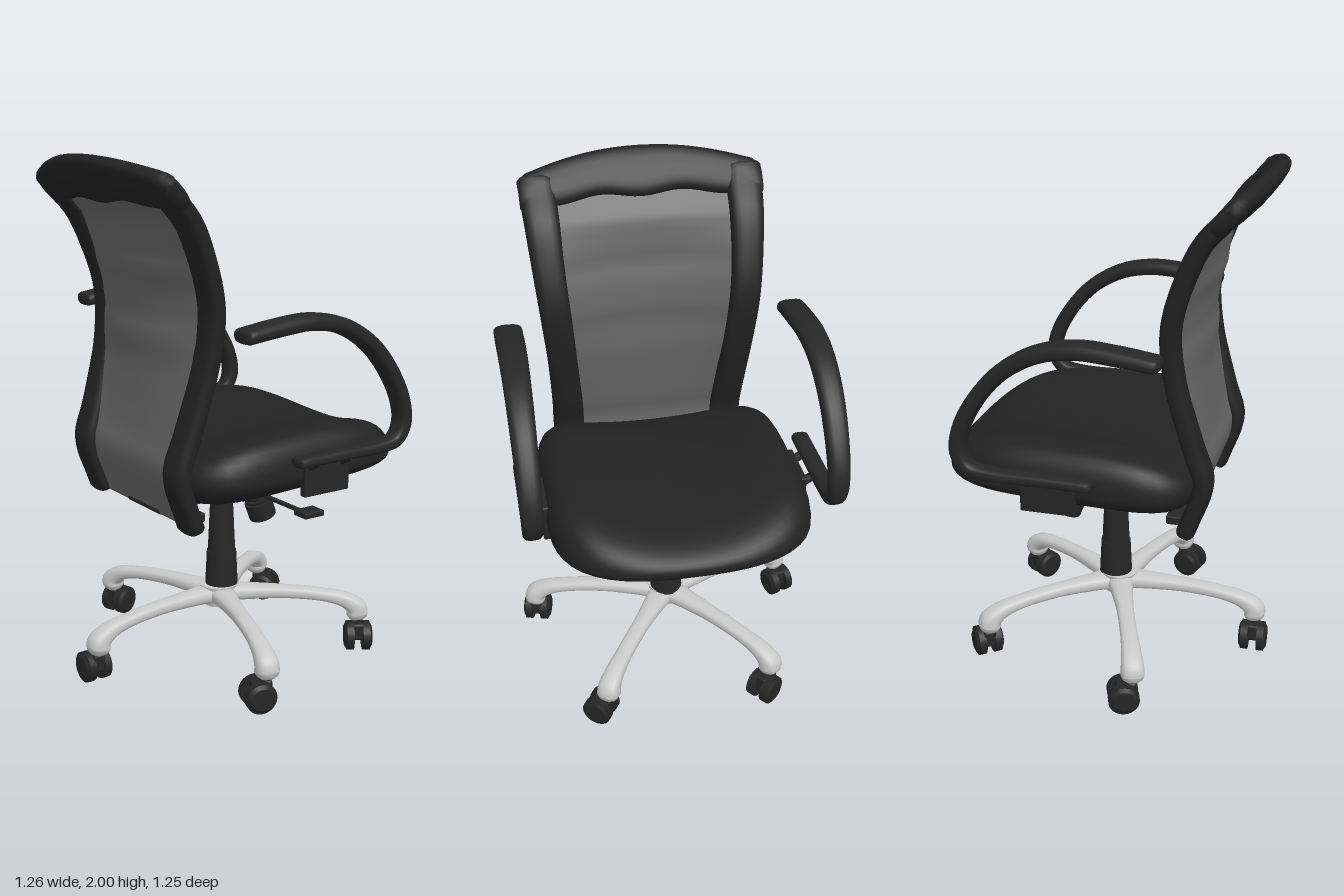
import * as THREE from 'three';
import { RoundedBoxGeometry } from 'three/addons/geometries/RoundedBoxGeometry.js';

const V = (x, y, z) => new THREE.Vector3(x, y, z);
const mat = (name, color, side = THREE.FrontSide) => {
  const m = new THREE.MeshStandardMaterial({ color, side });
  m.name = name;
  return m;
};

// Closed ring of points around c, spanned by u and v; power < 1 squares it off
function ring(c, u, v, power = 0.8, n = 20) {
  const f = (a) => Math.sign(a) * Math.abs(a) ** power;
  return Array.from({ length: n }, (_, i) => {
    const a = (i / n) * Math.PI * 2;
    return c.clone().addScaledVector(u, f(Math.cos(a))).addScaledVector(v, f(Math.sin(a)));
  });
}

// Capped solid through rings of equal point count, always facing outwards
function loft(rings) {
  const n = rings[0].length, pts = rings.flat(), idx = [];
  for (let i = 0; i < rings.length - 1; i++)
    for (let j = 0; j < n; j++) {
      const a = i * n + j, b = i * n + (j + 1) % n;
      idx.push(a, b, a + n, b, b + n, a + n);
    }
  [0, rings.length - 1].forEach((r, end) => {
    const mid = rings[r].reduce((s, p) => s.add(p), V(0, 0, 0)).divideScalar(n);
    const c = pts.push(mid) - 1;
    for (let j = 0; j < n; j++) {
      const a = r * n + j, b = r * n + (j + 1) % n;
      end ? idx.push(a, b, c) : idx.push(b, a, c);
    }
  });
  let volume = 0;
  for (let i = 0; i < idx.length; i += 3)
    volume += pts[idx[i]].dot(pts[idx[i + 1]].clone().cross(pts[idx[i + 2]]));
  if (volume < 0) idx.reverse();
  const g = new THREE.BufferGeometry().setFromPoints(pts);
  g.setIndex(idx);
  g.computeVertexNormals();
  return g;
}

// Bar along a path of [x, y, z, half height, half width in z], with rounded ends
function sweep(path, power = 0.8, steps = 44) {
  const line = new THREE.CatmullRomCurve3(path.map((p) => V(p[0], p[1], p[2])));
  const size = new THREE.CatmullRomCurve3(path.map((p) => V(p[3], p[4], 0)));
  const section = (t, k = 1, push = 0) => {
    const d = line.getTangent(t), s = size.getPoint(t);
    const normal = V(-d.y, d.x, 0).normalize();
    return ring(line.getPoint(t).addScaledVector(d, push * s.x), normal.multiplyScalar(s.x * k), V(0, 0, s.y * k), power);
  };
  const rings = [section(0, 0.55, -0.6), section(0, 0.85, -0.35)];
  for (let i = 0; i <= steps; i++) rings.push(section(i / steps));
  rings.push(section(1, 0.85, 0.35), section(1, 0.55, 0.6));
  return loft(rings);
}

// Piecewise linear lookup in a list of [key, value]
function lookup(table, k) {
  for (let i = 1; i < table.length; i++) {
    const [k0, v0] = table[i - 1], [k1, v1] = table[i];
    if (k <= k1) return v0 + (v1 - v0) * Math.max(0, (k - k0) / (k1 - k0));
  }
  return table[table.length - 1][1];
}

export function createModel() {
  const fabric = mat('black fabric', 0x222222);
  const plastic = mat('black plastic', 0x262626);
  const netting = mat('grey netting', 0x666666, THREE.DoubleSide);
  const silver = mat('silver metal', 0xc8c8c8);
  const chair = new THREE.Group();
  chair.name = 'officeChair';
  const add = (name, geo, material, parent = chair) => {
    const m = new THREE.Mesh(geo, material);
    m.name = name;
    parent.add(m);
    return m;
  };
  const box = (name, w, h, d, x, y, z, parent) => {
    const m = add(name, new RoundedBoxGeometry(w, h, d, 2, Math.min(w, h, d) * 0.2), plastic, parent);
    m.position.set(x, y, z);
    return m;
  };
  const rod = (name, a, b, r0, r1, parent, material = plastic) => {
    const d = b.clone().sub(a);
    const m = add(name, new THREE.CylinderGeometry(r1, r0, d.length(), 24), material, parent);
    m.position.copy(a).add(b).multiplyScalar(0.5);
    m.quaternion.setFromUnitVectors(V(0, 1, 0), d.normalize());
    return m;
  };

  // Seat cushion: squarish at the back, rounder at the front, sides raised
  const cushion = [];
  for (let i = 0; i <= 36; i++) {
    const phi = 0.03 + (i / 36) * (Math.PI - 0.06), s = Math.sin(phi);
    const puff = Math.sqrt(Math.max(0, 1 - s ** 6));
    cushion.push(Array.from({ length: 72 }, (_, j) => {
      const a = (j / 72) * Math.PI * 2, c = Math.cos(a), q = Math.sin(a);
      const n = 4.25 - 1.25 * c;
      const r = s / (Math.abs(c) ** n + Math.abs(q) ** n) ** (1 / n);
      const x = 0.12 + 0.51 * r * c, z = 0.505 * r * q;
      const top = 0.95 + 0.12 * (z / 0.5) ** 2 - 0.05 * ((x - 0.2) / 0.55) ** 2;
      const bottom = 0.735 + 0.06 * x + 0.03 * (z / 0.5) ** 2;
      const rim = 0.85;
      return V(x, rim + puff * (i < 18 ? top - rim : bottom - rim), z);
    }));
  }
  add('seatCushion', loft(cushion), fabric);

  // Backrest: side profile of the frame and how far its middle bows back
  const profile = [[0.67, -0.345], [0.74, -0.37], [0.83, -0.402], [0.9, -0.408], [1, -0.375], [1.1, -0.345],
    [1.25, -0.305], [1.42, -0.285], [1.52, -0.295], [1.65, -0.335], [1.78, -0.395], [1.87, -0.475], [2, -0.58]];
  const bowing = [[0.95, 0], [1.2, 0.045], [1.35, 0.078], [1.6, 0.08], [1.75, 0.04], [2, 0.03]];
  const outerZ = [[0.67, 0.4], [1, 0.405], [1.2, 0.415], [1.6, 0.453], [1.92, 0.48]];
  const innerZ = [[0.67, 0.27], [0.95, 0.275], [1.2, 0.298], [1.6, 0.33], [1.92, 0.335]];
  const backX = (y, z) => lookup(profile, y) - lookup(bowing, y) * Math.max(0, 1 - (z / 0.42) ** 2);

  const railY = [0.68, 0.74, 0.83, 0.9, 1, 1.1, 1.25, 1.42, 1.52, 1.65, 1.78, 1.87, 1.915];
  for (const side of [1, -1]) {
    add(side > 0 ? 'leftBackRail' : 'rightBackRail', sweep(railY.map((y) => {
      const o = lookup(outerZ, y), i = lookup(innerZ, y);
      return [lookup(profile, y), y, side * (o + i) / 2, 0.036, (o - i) / 2];
    }), 0.7), fabric);
  }
  const header = [];
  for (let i = 0; i <= 32; i++) {
    const z = -0.475 + 0.95 * (i / 32), e = Math.abs(z) / 0.475;
    const top = 1.995 - 0.065 * e * e;
    const low = 1.835 + 0.015 * Math.sin(e * Math.PI * 1.5) ** 2 - 0.03 * e ** 6;
    const a = V(backX(top, z), top, z), b = V(backX(low, z), low, z);
    const u = a.clone().sub(b).multiplyScalar(0.5);
    const k = i % 32 ? 1 : 0.75;
    const v = V(u.y, -u.x, 0).normalize().multiplyScalar(0.036 * k);
    header.push(ring(a.add(b).multiplyScalar(0.5), u.multiplyScalar(k), v, 0.75));
  }
  add('backHeader', loft(header), fabric);

  // Netting stretched between the rails
  const net = new THREE.PlaneGeometry(1, 1, 16, 40), p = net.attributes.position;
  for (let i = 0; i < p.count; i++) {
    const y = 0.67 + (p.getY(i) + 0.5) * 1.2;
    const z = p.getX(i) * 2 * (lookup(innerZ, y) + 0.03);
    p.setXYZ(i, backX(y, z), y, z);
  }
  net.computeVertexNormals();
  add('backNetting', net, netting);

  // Armrests: wide on top, looping forward and down to a bar beside the seat
  for (const side of [1, -1]) {
    const arm = new THREE.Group();
    arm.name = side > 0 ? 'leftArmrest' : 'rightArmrest';
    chair.add(arm);
    const z = 0.568 * side;
    add('armLoop', sweep([[-0.28, 1.405, z, 0.028, 0.056], [-0.15, 1.422, z, 0.03, 0.056], [0, 1.432, z, 0.031, 0.054],
      [0.14, 1.405, z, 0.031, 0.051], [0.27, 1.33, z, 0.031, 0.048], [0.37, 1.22, z, 0.031, 0.045],
      [0.435, 1.1, z, 0.031, 0.042], [0.448, 1.01, z, 0.031, 0.04], [0.415, 0.95, z, 0.028, 0.038],
      [0.33, 0.932, z, 0.024, 0.036], [0.14, 0.93, z, 0.022, 0.035], [-0.04, 0.927, z, 0.021, 0.035]], 0.75, 60), plastic, arm);
    box('armBracket', 0.21, 0.15, 0.03, 0.135, 0.845, 0.503 * side, arm);
    for (const x of [0.06, 0.21]) rod('armBolt', V(x, 0.88, 0.5 * side), V(x, 0.915, 0.56 * side), 0.018, 0.018, arm);
  }

  // Tilt mechanism under the seat
  box('mechanism', 0.36, 0.06, 0.2, 0.03, 0.715, 0);
  box('backSupport', 0.3, 0.03, 0.24, -0.2, 0.69, 0).rotation.z = 0.06;
  box('backCrossbar', 0.08, 0.035, 0.6, -0.3, 0.69, 0);

  // Tension knob with its ribbed spring
  const t0 = V(0.14, 0.74, 0), t1 = V(0.212, 0.555, 0);
  rod('springCore', t0, t1, 0.036, 0.036);
  for (let i = 0; i < 8; i++)
    rod('springRib', t0.clone().lerp(t1, i * 0.1), t0.clone().lerp(t1, i * 0.1 + 0.055), 0.05, 0.05);
  rod('tensionKnob', t0.clone().lerp(t1, 0.78), t0.clone().lerp(t1, 1.14), 0.057, 0.057);

  // Height lever with its paddle
  rod('leverRod', V(0.05, 0.705, 0.08), V(0.05, 0.705, 0.48), 0.009, 0.009);
  box('leverPaddle', 0.09, 0.022, 0.07, 0.05, 0.712, 0.52);

  // Gas column
  rod('pistonRod', V(0.015, 0.62, 0), V(0.015, 0.73, 0), 0.022, 0.022);
  rod('columnCover', V(0.015, 0.27, 0), V(0.015, 0.42, 0), 0.067, 0.06);
  rod('columnUpper', V(0.015, 0.42, 0), V(0.015, 0.635, 0), 0.056, 0.046);

  // Star base: five drooping legs, each with a twin wheel caster
  rod('baseHub', V(0, 0.195, 0), V(0, 0.28, 0), 0.06, 0.078, chair, silver);
  const legGeo = sweep([[0, 0.242, 0, 0.036, 0.062], [0.12, 0.244, 0, 0.031, 0.045], [0.28, 0.241, 0, 0.026, 0.034],
    [0.42, 0.228, 0, 0.025, 0.034], [0.52, 0.204, 0, 0.031, 0.039], [0.567, 0.17, 0, 0.042, 0.045],
    [0.572, 0.147, 0, 0.044, 0.046]]);
  for (let i = 0; i < 5; i++) {
    const leg = new THREE.Group();
    leg.name = 'baseLeg' + (i + 1);
    leg.rotation.y = -THREE.MathUtils.degToRad(178 + i * 72);
    chair.add(leg);
    add('legArm', legGeo, silver, leg);
    rod('casterPin', V(0.572, 0.07, 0.012), V(0.572, 0.15, 0.012), 0.02, 0.02, leg);
    box('casterHood', 0.05, 0.07, 0.08, 0.572, 0.085, 0.025, leg);
    for (const s of [-1, 1]) {
      rod('casterWheel', V(0.572 + s * 0.018, 0.063, 0.036), V(0.572 + s * 0.047, 0.063, 0.036), 0.06, 0.06, leg);
      rod('wheelCap', V(0.572 + s * 0.047, 0.063, 0.036), V(0.572 + s * 0.056, 0.063, 0.036), 0.056, 0.042, leg);
    }
  }
  return chair;
}
